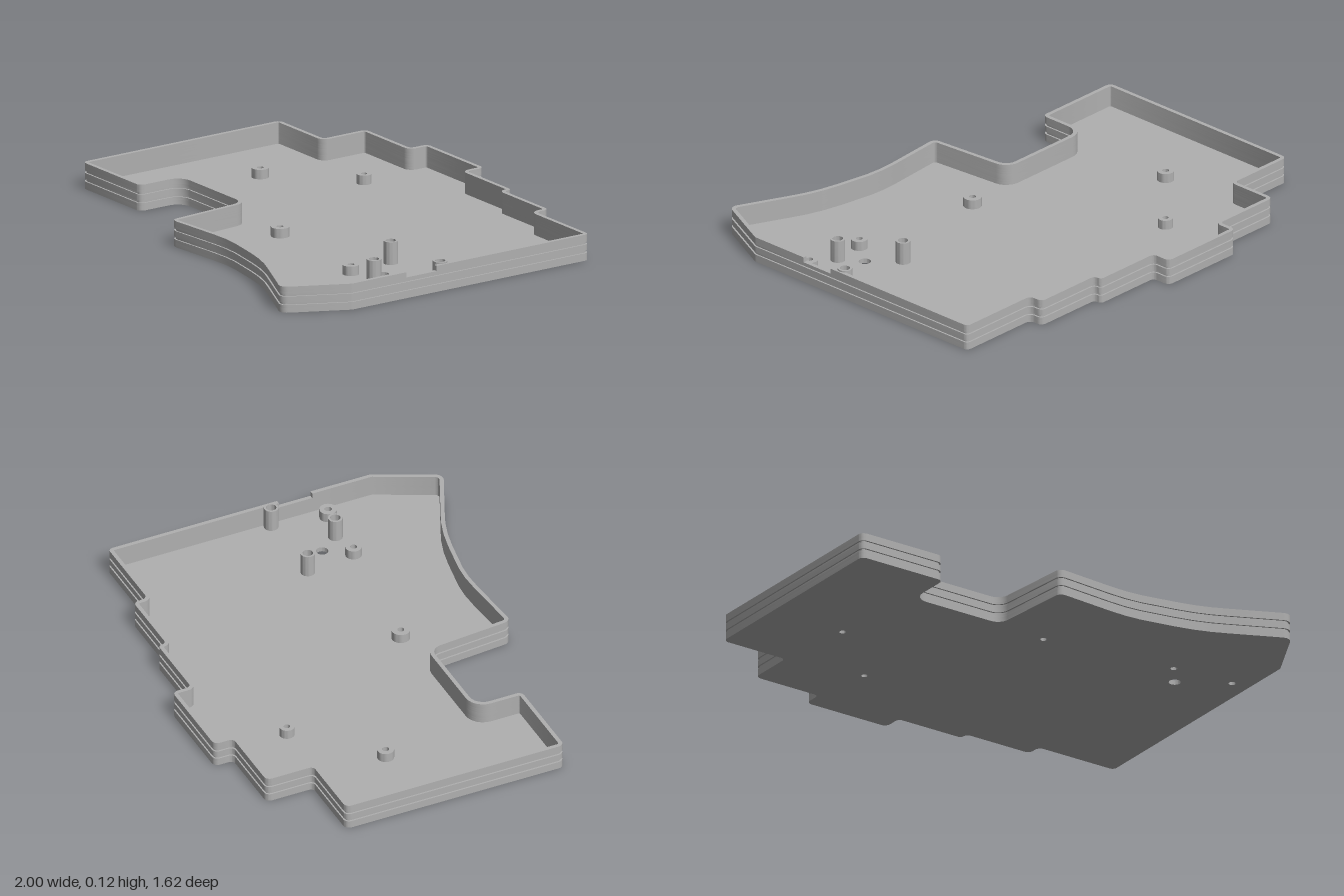
import * as THREE from 'three';
import { toCreasedNormals } from 'three/addons/utils/BufferGeometryUtils.js';

const HEIGHT = 0.11, FLOOR = 0.02, WALL = 0.017, GROOVE = 0.007;

// Outline corners [x, z, fillet radius], starting and ending at the wall notch
const CORNERS = [
  [1, 0.28, 0], [1, 0.55, 0.03], [0.87, 0.815, 0.035],
  [0.63, 0.705, 0], [0.57, 0.679, 0], [0.5, 0.656, 0], [0.42, 0.638, 0], [0.34, 0.624, 0],
  [0.27, 0.612, 0], [0.2, 0.607, 0], [0.12, 0.61, 0],
  [-0.143, 0.632, 0.03], [-0.175, 0.255, 0.05], [-0.6, 0.255, 0.06],
  [-0.6, 0.46, 0.025], [-1, 0.46, 0.025], [-1, -0.52, 0.025],
  [-0.695, -0.52, 0.02], [-0.695, -0.73, 0.025], [-0.385, -0.73, 0.02],
  [-0.385, -0.815, 0.025], [0.01, -0.815, 0.025], [0.01, -0.73, 0.02],
  [0.32, -0.73, 0.018], [0.32, -0.693, 0.018], [0.63, -0.693, 0.025],
  [0.63, -0.628, 0.025], [1, -0.628, 0.02], [1, 0.13, 0],
];

// Replace each corner by a circular fillet
function roundedOutline() {
  const pts = CORNERS.map(([x, z]) => new THREE.Vector2(x, z));
  const n = pts.length, out = [];
  CORNERS.forEach(([, , r], i) => {
    const p = pts[i];
    if (!r) { out.push(p); return; }
    const a = pts[(i + n - 1) % n].clone().sub(p).normalize();
    const b = pts[(i + 1) % n].clone().sub(p).normalize();
    const half = Math.acos(a.dot(b)) / 2;
    const c = a.clone().add(b).normalize().multiplyScalar(r / Math.sin(half)).add(p);
    const t = r / Math.tan(half);
    const from = a.multiplyScalar(t).add(p).sub(c).angle();
    let turn = b.multiplyScalar(t).add(p).sub(c).angle() - from;
    if (turn > Math.PI) turn -= 2 * Math.PI;
    if (turn < -Math.PI) turn += 2 * Math.PI;
    for (let k = 0; k <= 6; k++) {
      const w = from + turn * k / 6;
      out.push(new THREE.Vector2(c.x + r * Math.cos(w), c.y + r * Math.sin(w)));
    }
  });
  return out;
}

// Move every point inwards along its mitred normal
function inset(pts, d) {
  const n = pts.length;
  return pts.map((p, i) => {
    const a = p.clone().sub(pts[(i + n - 1) % n]).normalize();
    const b = pts[(i + 1) % n].clone().sub(p).normalize();
    const na = new THREE.Vector2(-a.y, a.x), nb = new THREE.Vector2(-b.y, b.x);
    const m = na.clone().add(nb).normalize();
    return m.multiplyScalar(d / m.dot(na)).add(p);
  });
}

export function createModel() {
  const group = new THREE.Group();
  const gray = new THREE.MeshStandardMaterial({ color: 0xb0b0b0 });
  gray.name = 'case gray';

  const add = (name, geometry, x = 0, z = 0) => {
    const mesh = new THREE.Mesh(toCreasedNormals(geometry, 0.5), gray);
    mesh.name = name;
    mesh.position.set(x, 0, z);
    group.add(mesh);
  };
  const slab = (name, shape, y0, y1) => {
    const g = new THREE.ExtrudeGeometry(shape, { depth: y1 - y0, bevelEnabled: false, curveSegments: 24 });
    add(name, g.rotateX(Math.PI / 2).translate(0, y1, 0));
  };

  const outer = roundedOutline();
  const inner = inset(outer, WALL);
  const grooved = inset(outer, GROOVE);

  // Through-hole standoffs [x, z, radius, hole radius] and taller blind posts
  const standoffs = [
    [-0.34, -0.468, 0.031, 0.013], [-0.652, -0.175, 0.035, 0.014], [0.055, 0.232, 0.038, 0.014],
    [0.647, 0.304, 0.034, 0.014], [0.922, 0.322, 0.036, 0.015],
  ];
  const posts = [[0.62, 0.086], [0.963, 0.086], [0.788, 0.29]];

  // Floor with screw holes and the button hole
  const floor = new THREE.Shape(outer);
  for (const [x, z, , r] of [...standoffs, [0.724, 0.2, 0, 0.025]]) {
    floor.holes.push(new THREE.Path().absarc(x, z, r, 0, Math.PI * 2, true));
  }
  slab('floor', floor, 0, FLOOR);

  // Wall bands separated by two shallow grooves
  const bands = [
    ['lowerWall', outer, FLOOR, 0.032], ['lowerGroove', grooved, 0.032, 0.042],
    ['middleWall', outer, 0.042, 0.068], ['upperGroove', grooved, 0.068, 0.078],
    ['upperWall', outer, 0.078, 0.088],
  ];
  for (const [name, edge, y0, y1] of bands) {
    const ring = new THREE.Shape(edge);
    ring.holes.push(new THREE.Path(inner));
    slab(name, ring, y0, y1);
  }
  // Rim left open at the side notch
  slab('notchedRim', new THREE.Shape([...outer, ...inner.slice().reverse()]), 0.088, HEIGHT);

  // Hollow cylinders standing on the floor
  const tube = (name, x, z, r, hole, top, bottom) => {
    const profile = [[r, FLOOR], [r, top], [hole, top], [hole, bottom]];
    add(name, new THREE.LatheGeometry(profile.map(p => new THREE.Vector2(...p)), 28), x, z);
  };
  for (const [x, z, r, hole] of standoffs) tube('standoff', x, z, r, hole, 0.06, FLOOR);
  for (const [x, z] of posts) tube('tallPost', x, z, 0.03, 0.021, 0.116, FLOOR);

  return group;
}
